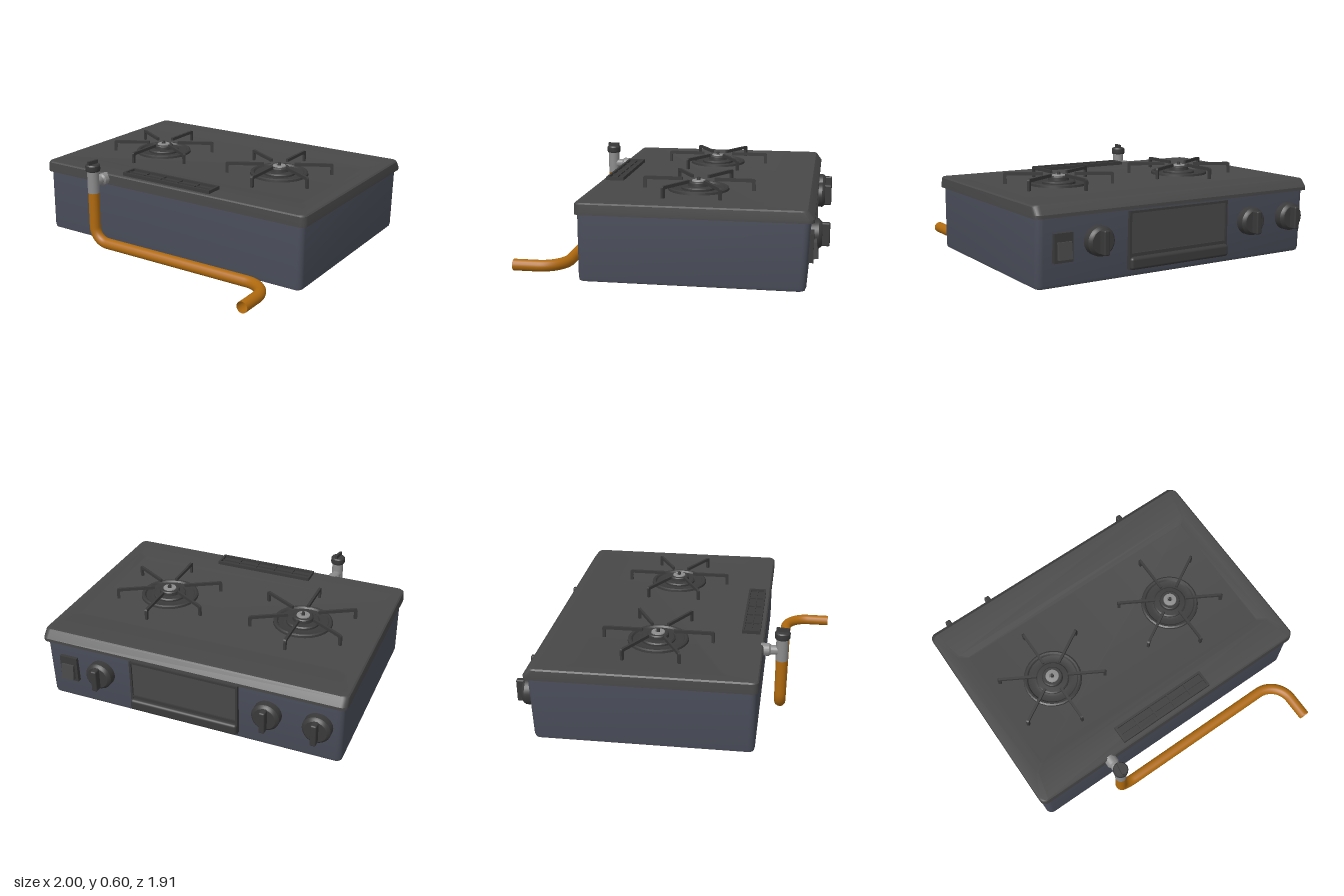
import * as THREE from 'three';
import { toCreasedNormals } from 'three/addons/utils/BufferGeometryUtils.js';
import { RoundedBoxGeometry } from 'three/addons/geometries/RoundedBoxGeometry.js';

const mat = (color, side = THREE.FrontSide) => new THREE.MeshStandardMaterial({ color, side });
const TOP = mat(0x484848), BODY = mat(0x4b4f5b), DARK = mat(0x3a3a3a), GREY = mat(0x8c8c8c);
const HOSE = mat(0xb06a0e, THREE.DoubleSide);

function add(parent, name, geometry, material, x = 0, y = 0, z = 0) {
  const mesh = new THREE.Mesh(geometry, material);
  mesh.name = name;
  mesh.position.set(x, y, z);
  parent.add(mesh);
  return mesh;
}
const box = (w, h, d) => new THREE.BoxGeometry(w, h, d);
const lathe = (pts, n = 32) =>
  toCreasedNormals(new THREE.LatheGeometry(pts.map(p => new THREE.Vector2(...p)), n), 0.5);

// Closed loft through rounded rectangles: [y, half width, back z, front z, corner radius]
function loft(rings, steps = 6) {
  const loops = rings.map(([y, hw, z0, z1, r]) => {
    const loop = [];
    for (let c = 0; c < 4; c++) {
      const cx = (c === 0 || c === 3 ? 1 : -1) * (hw - r);
      const cz = c < 2 ? z0 + r : z1 - r;
      for (let s = 0; s <= steps; s++) {
        const a = (c + s / steps) * Math.PI / 2;
        loop.push([cx + r * Math.cos(a), y, cz - r * Math.sin(a)]);
      }
    }
    return loop;
  });
  const pos = [], n = loops[0].length, last = loops[loops.length - 1];
  const tri = (...pts) => pts.forEach(p => pos.push(...p));
  for (let j = 0; j < n; j++) {
    const k = (j + 1) % n;
    for (let i = 0; i < loops.length - 1; i++) {
      const A = loops[i], B = loops[i + 1];
      tri(A[j], A[k], B[k]);
      tri(A[j], B[k], B[j]);
    }
    if (j > 0 && k > 0) {
      tri(loops[0][0], loops[0][k], loops[0][j]);
      tri(last[0], last[j], last[k]);
    }
  }
  const g = new THREE.BufferGeometry();
  g.setAttribute('position', new THREE.Float32BufferAttribute(pos, 3));
  return toCreasedNormals(g, 0.5);
}

// Burner with drip ring, head and six pan supports
function burner(x) {
  const g = new THREE.Group();
  g.name = 'burner';
  g.position.set(x, 0.475, -0.135);
  add(g, 'dripRing', lathe([[0.192, 0], [0.19, 0.015], [0.18, 0.021], [0.168, 0.019],
    [0.16, 0.008], [0.125, 0.004], [0.108, 0.006]]), DARK);
  add(g, 'burnerHead', lathe([[0.108, 0], [0.108, 0.018], [0.1, 0.025], [0.068, 0.027], [0.066, 0.048],
    [0.06, 0.054], [0, 0.054]]), DARK);
  add(g, 'burnerCap', lathe([[0.045, 0.05], [0.042, 0.06], [0.02, 0.062], [0.018, 0.056], [0, 0.056]]), GREY);
  add(g, 'ignitionTip', new THREE.CylinderGeometry(0.01, 0.013, 0.03, 12), DARK, 0, 0.063, 0);
  // Bent arm profile, extruded to a thin bar
  const s = new THREE.Shape();
  s.moveTo(0.1, 0.056);
  s.lineTo(0.325, 0.056);
  s.quadraticCurveTo(0.334, 0.056, 0.334, 0.045);
  s.lineTo(0.334, 0.002);
  s.lineTo(0.354, 0.002);
  s.lineTo(0.354, 0.06);
  s.quadraticCurveTo(0.354, 0.076, 0.338, 0.076);
  s.lineTo(0.1, 0.076);
  const arm = new THREE.ExtrudeGeometry(s, { depth: 0.016, bevelEnabled: false, curveSegments: 5 });
  arm.translate(0, 0, -0.008);
  for (let i = 0; i < 6; i++)
    add(g, 'panSupport', arm, DARK).rotation.y = Math.PI / 6 + i * Math.PI / 3;
  return g;
}

// Round control knob with a grip bar, facing -z
function knob(x) {
  const g = new THREE.Group();
  g.name = 'controlKnob';
  g.position.set(x, 0.255, -0.84);
  g.rotation.x = -Math.PI / 2;
  add(g, 'knobDisc', lathe([[0.088, 0], [0.088, 0.05], [0.08, 0.063], [0.07, 0.07], [0, 0.07]]), DARK);
  add(g, 'knobGrip', new RoundedBoxGeometry(0.038, 0.06, 0.145, 2, 0.009), DARK, 0, 0.086, 0);
  return g;
}

// Path made of straight runs joined by rounded corners
function roundedPath(points, radii) {
  const path = new THREE.CurvePath();
  let from = points[0];
  for (let i = 1; i < points.length - 1; i++) {
    const c = points[i], r = radii[i - 1];
    const a = c.clone().add(points[i - 1].clone().sub(c).setLength(r));
    const b = c.clone().add(points[i + 1].clone().sub(c).setLength(r));
    path.add(new THREE.LineCurve3(from, a));
    path.add(new THREE.CubicBezierCurve3(a, a.clone().lerp(c, 0.55), b.clone().lerp(c, 0.55), b));
    from = b;
  }
  path.add(new THREE.LineCurve3(from, points[points.length - 1]));
  return path;
}

export function createModel() {
  const model = new THREE.Group();
  model.name = 'gasStove';

  // Casing and top plate with a shallow pressed recess
  add(model, 'casing', loft([[0.005, 0.965, -0.815, 0.5, 0.03], [0.01, 0.975, -0.825, 0.508, 0.035],
    [0.03, 0.98, -0.832, 0.512, 0.04], [0.42, 0.98, -0.848, 0.512, 0.04]]), BODY);
  add(model, 'topPlate', loft([[0.415, 0.985, -0.855, 0.51, 0.03], [0.415, 1, -0.87, 0.525, 0.04],
    [0.435, 1, -0.87, 0.525, 0.04], [0.478, 0.997, -0.838, 0.523, 0.04], [0.486, 0.988, -0.83, 0.515, 0.035],
    [0.486, 0.92, -0.62, 0.34, 0.01], [0.476, 0.865, -0.58, 0.3, 0.01]]), TOP);

  for (const x of [-0.49, 0.455]) model.add(burner(x));

  // Exhaust vent grille
  const vent = new THREE.Group();
  vent.name = 'ventGrille';
  vent.position.set(-0.017, 0.486, 0.436);
  model.add(vent);
  add(vent, 'ventFloor', box(0.66, 0.006, 0.1), DARK, 0, 0.003, 0);
  for (const s of [-1, 1]) {
    add(vent, 'ventRim', box(0.676, 0.022, 0.014), DARK, 0, 0.011, s * 0.051);
    add(vent, 'ventRim', box(0.014, 0.022, 0.088), DARK, s * 0.331, 0.011, 0);
  }
  add(vent, 'ventBar', box(0.65, 0.01, 0.01), DARK, 0, 0.01, 0);
  for (let i = -2; i < 2; i++) add(vent, 'ventBar', box(0.01, 0.011, 0.09), DARK, (i + 0.5) * 0.132, 0.01, 0);

  // Control panel: knobs, switch and grill door
  for (const x of [0.595, -0.52, -0.835]) model.add(knob(x));
  add(model, 'switchFrame', box(0.12, 0.17, 0.035), DARK, 0.825, 0.24, -0.849);
  add(model, 'switchRocker', box(0.085, 0.1, 0.03), TOP, 0.825, 0.225, -0.874).rotation.x = 0.12;
  const door = new THREE.Group();
  door.name = 'grillDoor';
  door.position.set(0.027, 0, -0.845);
  model.add(door);
  add(door, 'doorWindow', box(0.7, 0.29, 0.02), TOP, 0, 0.25, 0);
  add(door, 'doorFrameTop', box(0.72, 0.014, 0.035), DARK, 0, 0.397, -0.004);
  for (const s of [-1, 1]) add(door, 'doorFrameSide', box(0.014, 0.35, 0.035), DARK, s * 0.353, 0.23, -0.004);
  add(door, 'doorLedge', box(0.7, 0.02, 0.03), DARK, 0, 0.142, -0.004);
  add(door, 'doorHandle', new RoundedBoxGeometry(0.72, 0.075, 0.055, 3, 0.018), DARK, 0, 0.092, -0.014);

  // Gas inlet: tee fitting with a capped top
  const inlet = new THREE.Group();
  inlet.name = 'gasInlet';
  inlet.position.set(-0.485, 0, 0.637);
  model.add(inlet);
  add(inlet, 'inletPipe', new THREE.CylinderGeometry(0.038, 0.038, 0.155, 24), GREY, 0, 0.463, 0);
  const branch = add(inlet, 'inletBranch',
    lathe([[0.03, 0], [0.03, 0.068], [0.04, 0.08], [0.04, 0.13], [0, 0.13]], 24), GREY, 0, 0.45, 0);
  branch.rotation.x = -Math.PI / 2;
  add(inlet, 'inletCap', lathe([[0, 0.532], [0.044, 0.532], [0.048, 0.54], [0.048, 0.57], [0.042, 0.578],
    [0, 0.578]], 24), DARK);
  add(inlet, 'capBlade', box(0.016, 0.026, 0.08), DARK, 0, 0.588, 0).rotation.y = -0.15;

  // Rubber hose
  const v = (x, y, z) => new THREE.Vector3(x, y, z);
  const path = roundedPath([v(-0.485, 0.395, 0.637), v(-0.485, 0.05, 0.637), v(0.848, 0.05, 0.637),
    v(0.848, 0.05, 0.95)], [0.1, 0.16]);
  add(model, 'gasHose', new THREE.TubeGeometry(path, 120, 0.036, 16), HOSE);
  return model;
}
